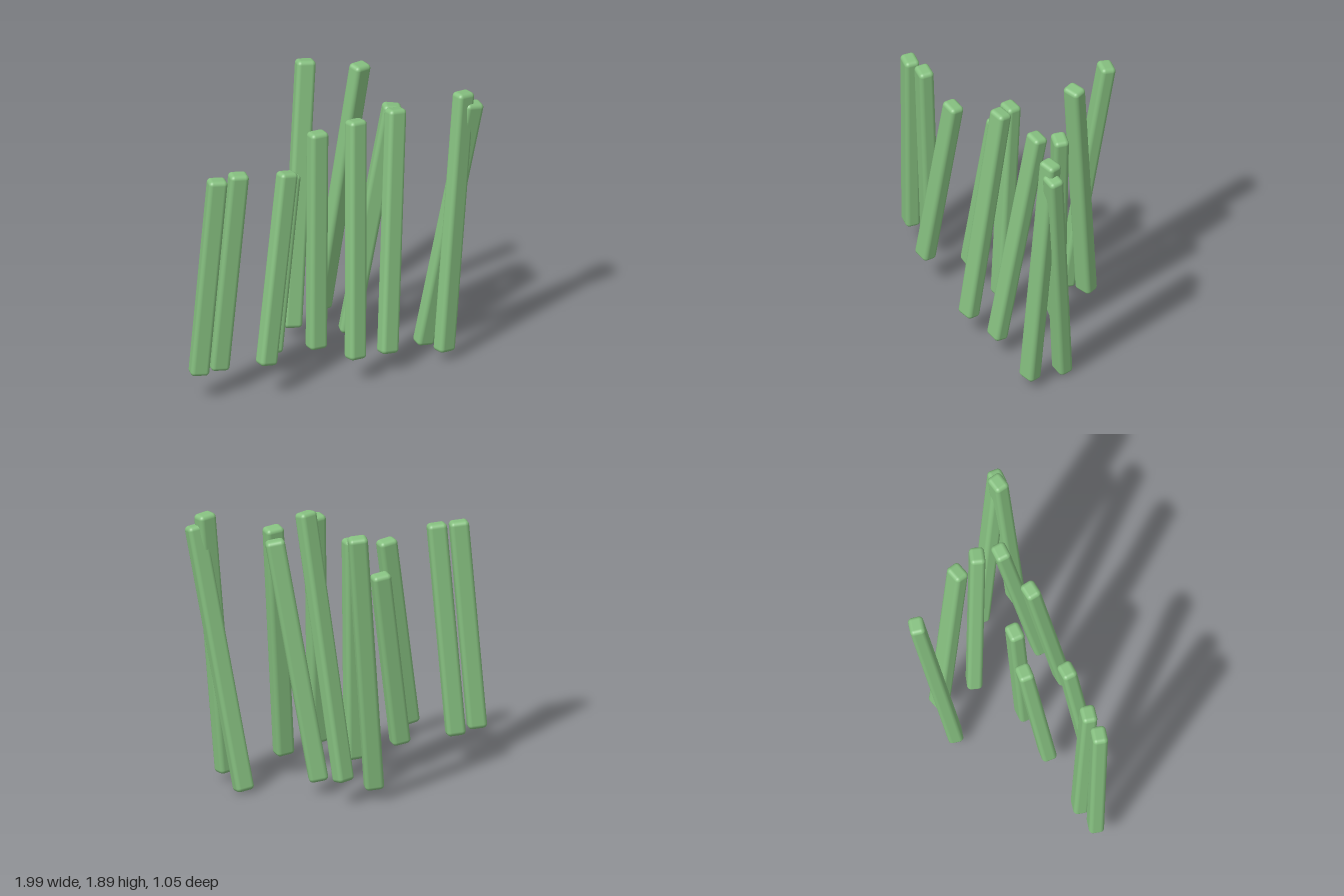
import * as THREE from 'three';
import { RoundedBoxGeometry } from 'three/addons/geometries/RoundedBoxGeometry.js';

const WIDTH = 0.122, DEPTH = 0.097, RADIUS = 0.027;
const UP = new THREE.Vector3(0, 1, 0);

// One stalk per row: bottom centre, top centre, twist about its own axis in degrees
const STALKS = [
  [[-0.935, 0.187, 0.305], [-0.835, 1.543, 0.37], -10],
  [[-0.775, 0.172, 0.26], [-0.682, 1.548, 0.357], -8],
  [[-0.53, 0.229, 0.437], [-0.34, 1.485, 0.34], 6],
  [[-0.38, 0.184, 0.198], [-0.21, 1.345, 0.103], 0],
  [[-0.058, 0.132, 0.163], [-0.025, 1.6, 0.11], 4],
  [[-0.022, 0.076, -0.285], [0.162, 1.81, -0.478], -10],
  [[0.07, 0.165, 0.47], [0.158, 1.723, 0.285], 10],
  [[0.192, 0.155, -0.312], [0.375, 1.893, -0.118], 18],
  [[0.26, 0.088, -0.053], [0.513, 1.665, 0.065], -14],
  [[0.32, 0.13, 0.41], [0.47, 1.705, 0.203], 5],
  [[0.685, 0.011, 0.148], [0.935, 1.723, 0.36], 3],
  [[0.713, 0.062, 0.4], [0.875, 1.798, 0.342], 14],
];

export function createModel() {
  const group = new THREE.Group();
  group.name = 'stalks';
  const green = new THREE.MeshStandardMaterial({ color: 0x86c080 });
  green.name = 'stalkGreen';

  // Leaning stalks with rounded edges
  STALKS.forEach(([bottom, top, twist], i) => {
    const a = new THREE.Vector3(...bottom);
    const b = new THREE.Vector3(...top);
    const axis = b.clone().sub(a);
    const stalk = new THREE.Mesh(
      new RoundedBoxGeometry(WIDTH, axis.length(), DEPTH, 4, RADIUS), green);
    stalk.name = `stalk${i + 1}`;
    stalk.position.addVectors(a, b).multiplyScalar(0.5);
    stalk.quaternion.setFromUnitVectors(UP, axis.normalize());
    stalk.rotateY(THREE.MathUtils.degToRad(twist));
    group.add(stalk);
  });
  return group;
}
